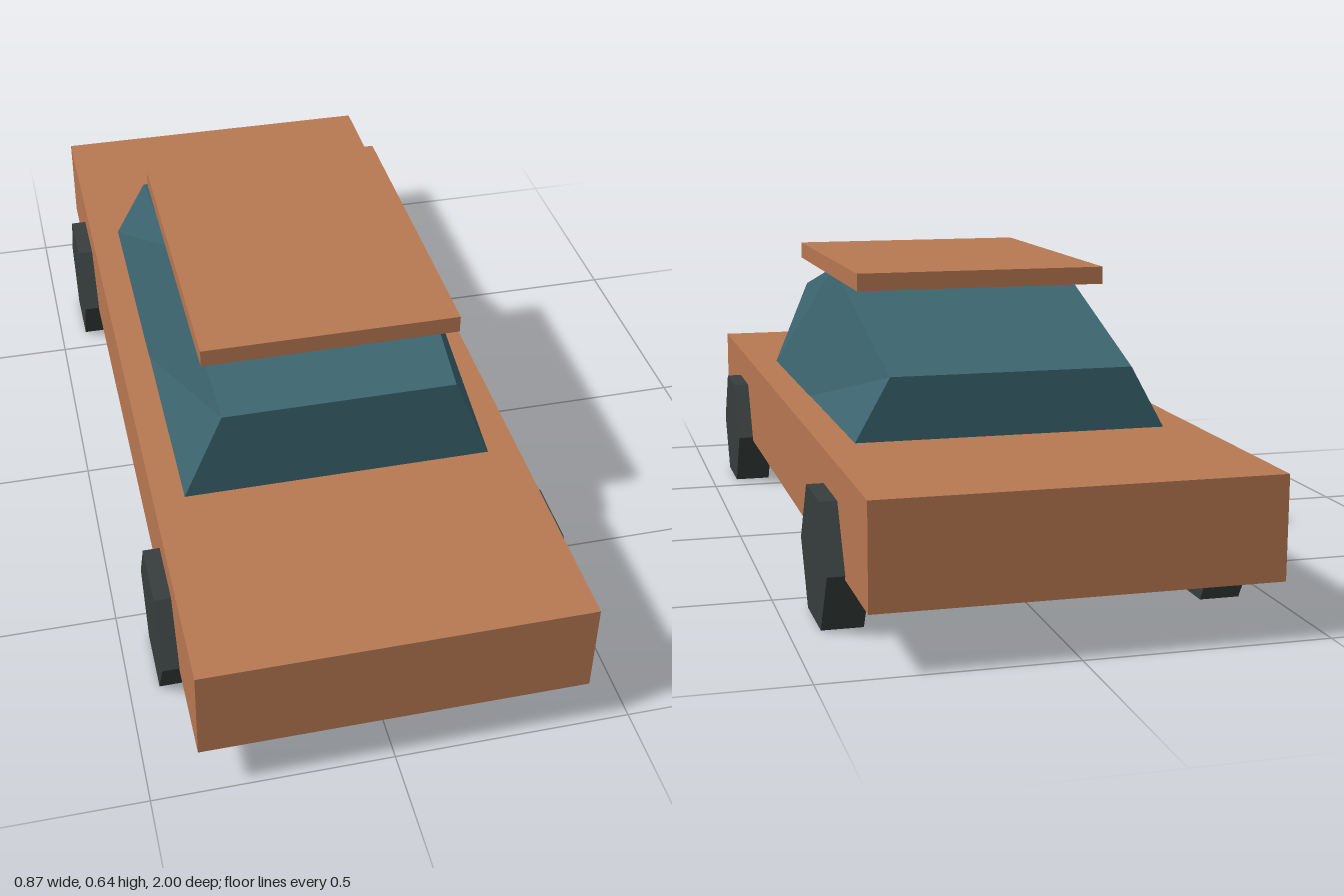
import * as THREE from 'three';

const paint = new THREE.MeshStandardMaterial({ name: 'copper paint', color: 0xb87852 });
const glass = new THREE.MeshStandardMaterial({ name: 'teal glass', color: 0x3c6570 });
const rubber = new THREE.MeshStandardMaterial({ name: 'dark rubber', color: 0x373e3d });
for (const m of [paint, glass, rubber]) m.flatShading = true;

function add(parent, name, geometry, material, x, y, z) {
  const mesh = new THREE.Mesh(geometry, material);
  mesh.name = name;
  mesh.position.set(x, y, z);
  parent.add(mesh);
  return mesh;
}

// Loft through trapezoid sections ordered from front to back
function loftTrapezoids(sections) {
  const rings = sections.map(({ z, bottom, top, low, high }) => [
    [-bottom, low, z], [bottom, low, z], [top, high, z], [-top, high, z],
  ]);
  const positions = [];
  const quad = (a, b, c, d) => positions.push(...a, ...b, ...c, ...a, ...c, ...d);
  quad(...rings[0]);
  for (let i = 0; i < rings.length - 1; i++) {
    const f = rings[i], r = rings[i + 1];
    for (let k = 0; k < 4; k++) {
      const n = (k + 1) % 4;
      quad(f[k], r[k], r[n], f[n]);
    }
  }
  quad(...rings[rings.length - 1].slice().reverse());
  const geometry = new THREE.BufferGeometry();
  geometry.setAttribute('position', new THREE.Float32BufferAttribute(positions, 3));
  geometry.computeVertexNormals();
  return geometry;
}

export function createModel() {
  const car = new THREE.Group();
  car.name = 'car';

  // Slab body and overhanging roof panel
  add(car, 'body', new THREE.BoxGeometry(0.802, 0.208, 2), paint, 0, 0.224, 0);
  add(car, 'roofPanel', new THREE.BoxGeometry(0.553, 0.038, 0.72), paint, 0, 0.624, 0.06);

  // Cabin peaks inside the roof panel and slopes down both ways
  const cabin = loftTrapezoids([
    { z: 0.5, bottom: 0.335, top: 0.25, low: 0.325, high: 0.529 },
    { z: 0, bottom: 0.334, top: 0.272, low: 0.325, high: 0.625 },
    { z: -0.54, bottom: 0.333, top: 0.258, low: 0.325, high: 0.46 },
  ]);
  add(car, 'cabin', cabin, glass, 0, 0, 0);

  // Six-sided wheels
  const wheel = new THREE.CylinderGeometry(0.148, 0.148, 0.085, 6);
  wheel.rotateZ(Math.PI / 2);
  for (const [end, z] of [['front', 0.64], ['rear', -0.64]]) {
    for (const [side, x] of [['Left', 0.394], ['Right', -0.394]]) {
      add(car, `${end}${side}Wheel`, wheel, rubber, x, 0.128, z);
    }
  }
  return car;
}
